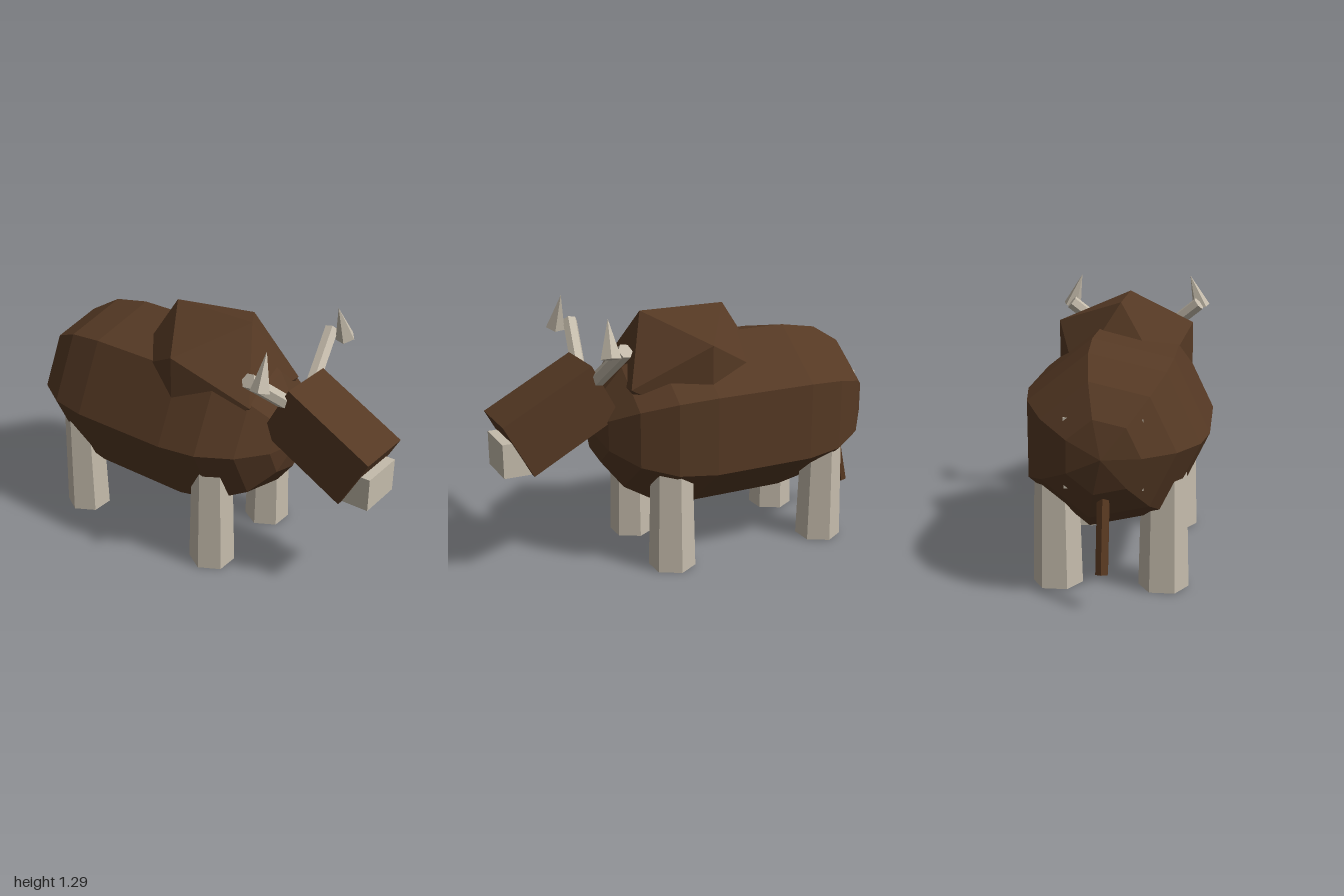
import * as THREE from 'three';

const CX = 0.02; // symmetry plane of the animal

const brown = new THREE.MeshStandardMaterial({ color: 0x553924 });
brown.name = 'brown hide';
const tailBrown = new THREE.MeshStandardMaterial({ color: 0x5a3a22 });
tailBrown.name = 'tail brown';
const ivory = new THREE.MeshStandardMaterial({ color: 0xc4bbab });
ivory.name = 'ivory';

// Faceted mesh: unshared corners give one normal per face
function part(name, geometry, material, x = 0, y = 0, z = 0) {
  const flat = geometry.index ? geometry.toNonIndexed() : geometry;
  flat.computeVertexNormals();
  const mesh = new THREE.Mesh(flat, material);
  mesh.name = name;
  mesh.position.set(x, y, z);
  return mesh;
}

// Cylinder or cone running from point a to point b
function rod(name, a, b, rStart, rEnd, sides, material) {
  const from = new THREE.Vector3(...a);
  const to = new THREE.Vector3(...b);
  const dir = to.clone().sub(from);
  const mesh = part(name, new THREE.CylinderGeometry(rEnd, rStart, dir.length(), sides), material);
  mesh.position.copy(from).add(to).multiplyScalar(0.5);
  mesh.quaternion.setFromUnitVectors(new THREE.Vector3(0, 1, 0), dir.normalize());
  return mesh;
}

export function createModel() {
  const model = new THREE.Group();
  model.name = 'ox';

  // Seven-sided barrel body with stretched round ends
  const body = new THREE.CapsuleGeometry(0.442, 0.46, 4, 7, 1);
  body.rotateX(Math.PI / 2).scale(1, 1, 1.131);
  model.add(part('body', body, brown, CX, 0.685, -0.23));

  // Shoulder hump
  const hump = new THREE.IcosahedronGeometry(1, 0);
  hump.rotateZ(Math.PI / 2).scale(0.394, 0.384, 0.428);
  model.add(part('hump', hump, brown, CX, 0.913, 0.03));

  // Head and muzzle
  const head = part('head', new THREE.BoxGeometry(0.294, 0.293, 0.497), brown, CX, 0.79, 0.715);
  head.rotation.x = 0.495;
  model.add(head);
  model.add(part('muzzle', new THREE.BoxGeometry(0.23, 0.165, 0.135), ivory, CX, 0.627, 0.9325));

  // Horns and legs, mirrored
  for (const s of [-1, 1]) {
    const side = s > 0 ? 'left' : 'right';
    const horn = new THREE.Group();
    horn.name = side + 'Horn';
    horn.add(rod('hornShaft', [CX + s * 0.09, 0.935, 0.537], [CX + s * 0.345, 1.145, 0.482], 0.037, 0.037, 6, ivory));
    horn.add(rod('hornTip', [CX + s * 0.355, 1.117, 0.557], [CX + s * 0.295, 1.288, 0.543], 0.049, 0, 5, ivory));
    model.add(horn);

    for (const [place, z] of [['Front', 0.206], ['Back', -0.653]]) {
      const leg = new THREE.CylinderGeometry(0.1, 0.116, 0.6, 6);
      leg.rotateY(Math.PI / 2);
      model.add(part(side + place + 'Leg', leg, ivory, CX + s * 0.245, 0.3, z));
    }
  }

  // Tail, and the block at its root whose corners just break the hide
  model.add(rod('tail', [CX, 0.167, -0.967], [CX, 0.6, -0.872], 0.03, 0.03, 6, tailBrown));
  model.add(part('tailRoot', new THREE.BoxGeometry(0.345, 0.315, 0.2), ivory, CX, 0.685, -0.797));

  return model;
}
